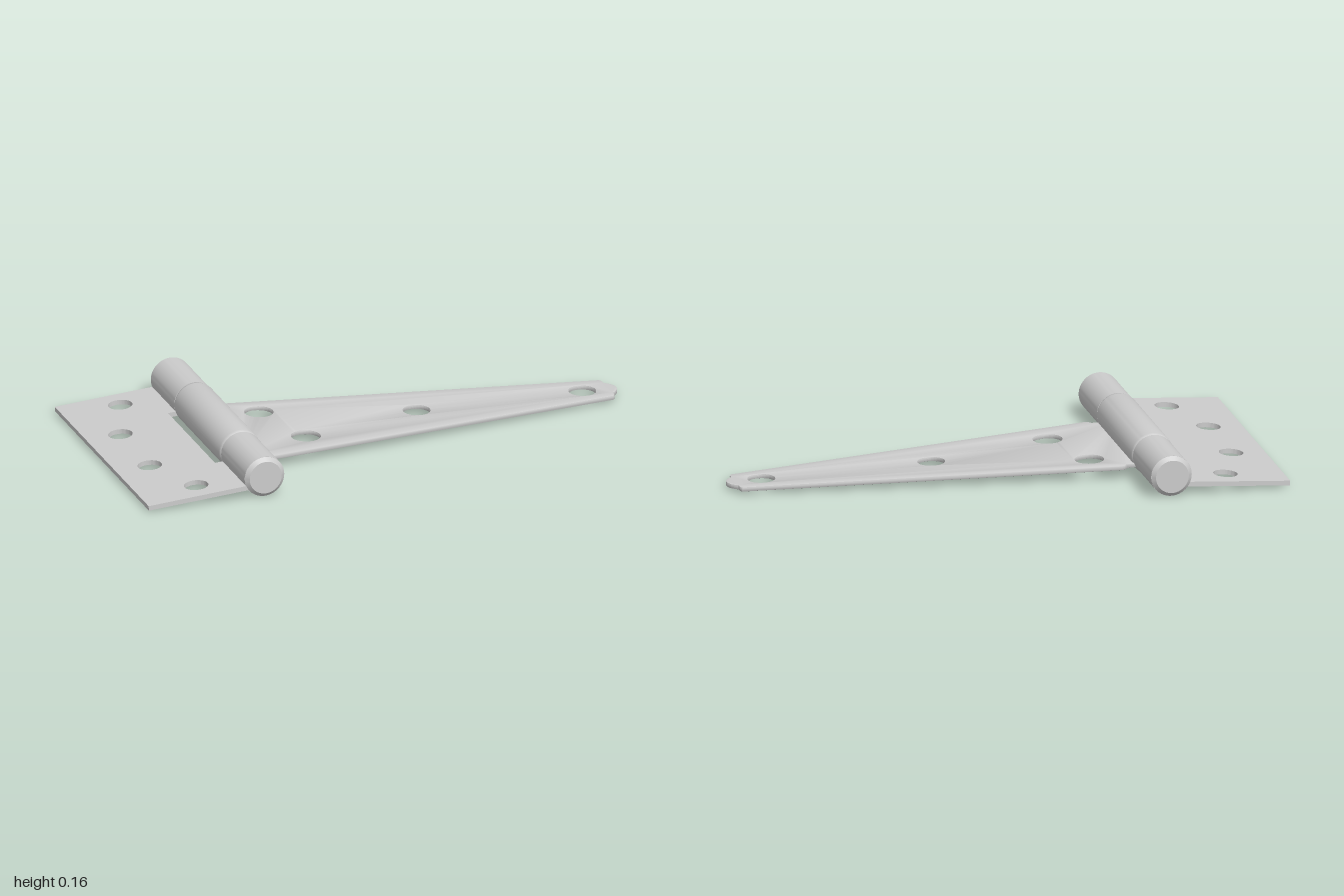
import * as THREE from 'three';
import { toCreasedNormals } from 'three/addons/utils/BufferGeometryUtils.js';

const AXIS_X = -0.55, AXIS_Y = 0.08;
const mat = new THREE.MeshStandardMaterial({ color: 0xcccccc });

function add(group, name, geometry) {
  const mesh = new THREE.Mesh(toCreasedNormals(geometry, 0.6), mat);
  mesh.name = name;
  group.add(mesh);
  return mesh;
}

// Flat plate drawn in plan (x, z), drilled, then tilted about the hinge axis
function plate(shape, holes, bottomY, slope, bevel) {
  for (const [x, z, r] of holes) {
    shape.holes.push(new THREE.Path().absarc(x, -z, r, 0, Math.PI * 2, true));
  }
  const thick = 0.018;
  const geo = new THREE.ExtrudeGeometry(shape, {
    depth: thick - 2 * bevel, curveSegments: 32, bevelEnabled: bevel > 0,
    bevelThickness: bevel, bevelSize: bevel, bevelOffset: -bevel, bevelSegments: 2,
  });
  geo.translate(-AXIS_X, 0, bevel);
  geo.rotateX(-Math.PI / 2);
  geo.rotateZ(Math.atan(slope));
  geo.translate(AXIS_X, bottomY, 0);
  return geo;
}

// Solid of revolution along z from [radius, z] points
function turned(points) {
  const geo = new THREE.LatheGeometry(points.map(([r, z]) => new THREE.Vector2(r, z)), 48);
  geo.rotateX(Math.PI / 2);
  geo.translate(AXIS_X, AXIS_Y, 0);
  return geo;
}

export function createModel() {
  const hinge = new THREE.Group();
  hinge.name = 'strapHinge';

  // Rectangular leaf, notched around the middle knuckle
  const leaf = new THREE.Shape([
    [-1, -0.512], [-0.55, -0.512], [-0.55, -0.256], [-0.65, -0.256],
    [-0.65, 0.256], [-0.55, 0.256], [-0.55, 0.512], [-1, 0.512],
  ].map(([x, y]) => new THREE.Vector2(x, y)));
  const leafHoles = [];
  for (const s of [-1, 1]) leafHoles.push([-0.78, s * 0.414, 0.045], [-0.87, s * 0.16, 0.045]);
  add(hinge, 'rectangularLeaf', plate(leaf, leafHoles, 0.038, 0.073, 0));

  // Tapered strap with shoulders and a rounded tip
  const strap = new THREE.Shape();
  strap.moveTo(-0.55, -0.252);
  strap.lineTo(-0.452, -0.252);
  strap.quadraticCurveTo(-0.446, -0.272, -0.425, -0.27);
  strap.lineTo(0.958, -0.082);
  strap.quadraticCurveTo(0.971, -0.079, 0.968, -0.052);
  strap.bezierCurveTo(0.99, -0.036, 1, -0.018, 1, 0);
  strap.bezierCurveTo(1, 0.018, 0.99, 0.036, 0.968, 0.052);
  strap.quadraticCurveTo(0.971, 0.079, 0.958, 0.082);
  strap.lineTo(-0.425, 0.27);
  strap.quadraticCurveTo(-0.446, 0.272, -0.452, 0.252);
  strap.lineTo(-0.55, 0.252);
  const strapHoles = [[-0.335, -0.155, 0.053], [-0.25, 0.12, 0.054], [0.223, 0, 0.05], [0.867, 0, 0.05]];
  add(hinge, 'taperedStrap', plate(strap, strapHoles, 0.037, -0.018, 0.004));

  // Middle knuckle with softened rims
  add(hinge, 'middleKnuckle', turned([
    [0, -0.254], [0.074, -0.254], [0.078, -0.25], [0.08, -0.24],
    [0.08, 0.24], [0.078, 0.25], [0.074, 0.254], [0, 0.254],
  ]));

  // Outer knuckles, each with a chamfered pin head
  for (const s of [-1, 1]) {
    const side = s > 0 ? 'front' : 'back';
    const along = (pts) => {
      const p = pts.map(([r, z]) => [r, s * z]);
      return turned(s > 0 ? p : p.reverse());
    };
    add(hinge, side + 'Knuckle', along([[0, 0.256], [0.077, 0.256], [0.077, 0.512], [0, 0.512]]));
    add(hinge, side + 'PinHead', along([[0, 0.505], [0.0765, 0.505], [0.0765, 0.513], [0.062, 0.526], [0, 0.526]]));
  }
  return hinge;
}
